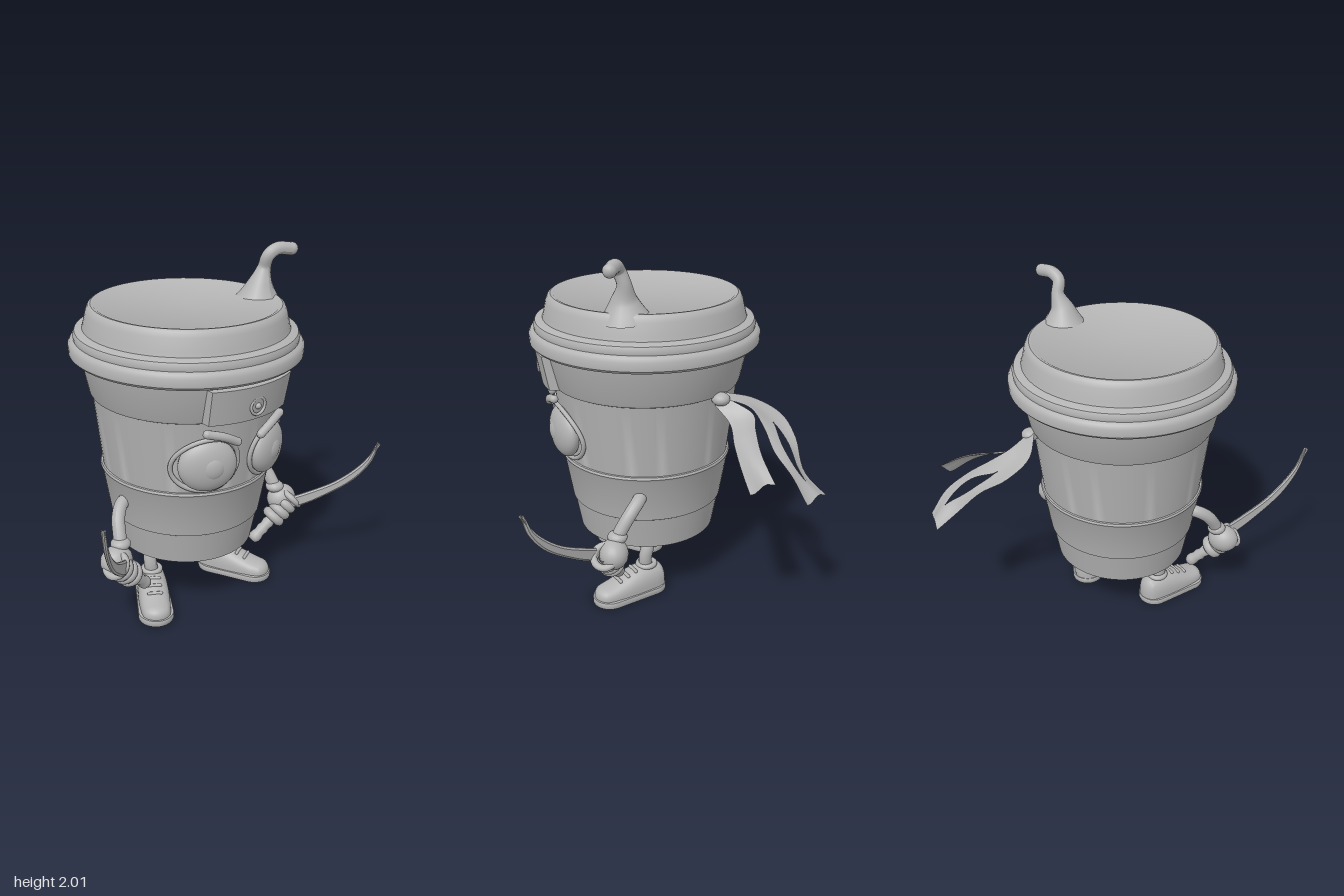
import * as THREE from 'three';
import { toCreasedNormals } from 'three/addons/utils/BufferGeometryUtils.js';

const grey = new THREE.MeshStandardMaterial({ color: 0xb3b3b3, side: THREE.DoubleSide });
grey.name = 'clay grey';

const CZ = 0.14; // cup axis in z
const V = (x, y, z) => new THREE.Vector3(x, y, z);
const curve = (pts, closed = false) => new THREE.CatmullRomCurve3(pts.map(p => V(...p)), closed);
const cupRadius = y => 0.39 + 0.173 * (y - 0.36);
const cupFront = (x, y) => CZ + Math.sqrt(cupRadius(y) ** 2 - x * x);

function add(parent, name, geo, pos = [0, 0, 0]) {
  const m = new THREE.Mesh(geo, grey);
  m.name = name;
  m.position.set(...pos);
  parent.add(m);
  return m;
}

// Moves every vertex by a rule and refreshes the normals
function warp(geo, rule) {
  const p = geo.attributes.position, v = V(0, 0, 0);
  for (let i = 0; i < p.count; i++) {
    rule(v.fromBufferAttribute(p, i), i);
    p.setXYZ(i, v.x, v.y, v.z);
  }
  geo.computeVertexNormals();
  return geo;
}

// Tube whose radius follows r(t)
function taperTube(path, r, n = 32, sides = 14) {
  return warp(new THREE.TubeGeometry(path, n, 1, sides), (v, i) => {
    const t = Math.floor(i / (sides + 1)) / n, c = path.getPointAt(t);
    v.sub(c).multiplyScalar(r(t)).add(c);
  });
}

function lathe(pts) {
  const g = new THREE.LatheGeometry(pts.map(p => new THREE.Vector2(...p)), 72);
  return toCreasedNormals(g, 0.6);
}

// Cloth strip between two edge curves; lo(t) and hi(t) pick its share of the width
function ribbon(a, b, lo = () => 0, hi = () => 1) {
  return warp(new THREE.PlaneGeometry(1, 1, 28, 6), v => {
    const t = v.x + 0.5, k = THREE.MathUtils.lerp(lo(t), hi(t), v.y + 0.5);
    const ripple = 0.012 * Math.sin(k * 7 + t * 5) * t;
    v.copy(a.getPoint(t)).lerp(b.getPoint(t), k);
    v.y += ripple;
  });
}

function buildCup(g) {
  add(g, 'cup', lathe([[0, 0.375], [0.365, 0.375], [0.372, 0.36], [0.39, 0.36], [0.422, 0.535],
    [0.424, 0.545], [0.432, 0.55], [0.474, 0.8], [0.482, 0.815], [0.477, 0.828], [0.468, 0.83],
    [0.515, 1.24], [0.525, 1.245], [0.532, 1.26], [0.572, 1.44], [0.58, 1.48], [0, 1.48]]), [0, 0, CZ]);
  add(g, 'lid', lathe([[0.56, 1.46], [0.62, 1.46], [0.634, 1.475], [0.636, 1.52], [0.625, 1.54],
    [0.607, 1.55], [0.61, 1.57], [0.6, 1.592], [0.58, 1.6], [0.559, 1.605], [0.552, 1.63],
    [0.537, 1.695], [0.525, 1.722], [0.51, 1.732], [0.495, 1.73], [0.48, 1.72], [0, 1.722]]), [0, 0, CZ]);

  // Curl of steam rising from the lid
  const path = curve([[0.42, 1.69, 0.24], [0.43, 1.78, 0.245], [0.455, 1.87, 0.245],
    [0.46, 1.94, 0.27], [0.51, 1.972, 0.285], [0.59, 1.966, 0.31]]);
  add(g, 'steam', taperTube(path, t => 0.036 + 0.1 * Math.max(0, 1 - t / 0.5) ** 1.6));
  add(g, 'steamTip', new THREE.SphereGeometry(0.036, 16, 12), [0.59, 1.966, 0.31]);
}

function buildFace(g) {
  // Bent forehead plate with a plain round boss
  add(g, 'foreheadPlate', toCreasedNormals(warp(new THREE.BoxGeometry(0.52, 0.19, 0.06, 24, 1, 1), v => {
    v.y += 1.345;
    v.x *= 1 - 0.12 * (1.44 - v.y);
    v.z += cupFront(v.x, v.y) + 0.005;
  }), 0.6));
  const z = cupFront(0, 1.33) + 0.035;
  add(g, 'plateRing', new THREE.TorusGeometry(0.045, 0.008, 8, 28), [0, 1.325, z]);
  add(g, 'plateStud', new THREE.SphereGeometry(0.017, 12, 8), [0, 1.325, z]);

  for (const s of [-1, 1]) {
    const x = 0.203 * s, eye = new THREE.Group();
    eye.name = s > 0 ? 'leftEye' : 'rightEye';
    g.add(eye);
    // Raised socket rim lying on the cup wall
    const rim = [];
    for (let i = 0; i < 28; i++) {
      const a = i / 28 * Math.PI * 2;
      const px = x + 0.16 * Math.cos(a), py = 1.0 + 0.155 * Math.sin(a);
      rim.push([px, py, cupFront(px, py)]);
    }
    add(eye, 'socketRim', new THREE.TubeGeometry(curve(rim, true), 64, 0.013, 8, true));
    const turn = Math.asin(x / 0.5);
    const ball = add(eye, 'eyeball', new THREE.SphereGeometry(1, 32, 24), [x, 1.0, cupFront(x, 1.0) - 0.008]);
    ball.scale.set(0.157, 0.146, 0.07);
    ball.rotation.y = turn;
    const pupil = add(eye, 'pupil', new THREE.SphereGeometry(1, 24, 16), [x, 1.0, cupFront(x, 1.0) + 0.03]);
    pupil.scale.set(0.075, 0.075, 0.042);
    pupil.rotation.y = turn;
    // Angry brow
    const brow = curve([[0.245, 1.197], [0.16, 1.172], [0.08, 1.13]]
      .map(([bx, by]) => [bx * s, by, cupFront(bx, by) + 0.02]));
    add(eye, 'brow', taperTube(brow, () => 0.023));
    for (const t of [0, 1]) add(eye, 'browEnd', new THREE.SphereGeometry(0.023, 12, 10), brow.getPoint(t).toArray());
  }
}

function buildScarf(g) {
  const scarf = new THREE.Group();
  scarf.name = 'scarfTails';
  g.add(scarf);
  const knot = add(scarf, 'knot', new THREE.SphereGeometry(0.045, 16, 12), [0.38, 1.235, -0.25]);
  knot.scale.set(1.1, 0.8, 1.1);
  const outer = curve([[0.34, 1.26, -0.27], [0.28, 1.2, -0.44], [0.34, 1.13, -0.58],
    [0.47, 1.05, -0.64], [0.6, 0.92, -0.67], [0.69, 0.83, -0.77]]);
  const inner = curve([[0.39, 1.24, -0.27], [0.43, 1.2, -0.4], [0.53, 1.13, -0.46],
    [0.65, 1.05, -0.5], [0.75, 0.96, -0.58], [0.81, 0.83, -0.65]]);
  // The long tail is split by a slit
  const slit = t => 0.15 * Math.sin(Math.PI * THREE.MathUtils.clamp((t - 0.42) / 0.45, 0, 1));
  add(scarf, 'longTailOuter', ribbon(outer, inner, () => 0, t => 0.5 - slit(t)));
  add(scarf, 'longTailInner', ribbon(outer, inner, t => 0.5 + slit(t), () => 1));
  add(scarf, 'shortTail', ribbon(
    curve([[0.37, 1.25, -0.26], [0.46, 1.18, -0.41], [0.6, 1.14, -0.41], [0.75, 1.085, -0.42], [0.905, 1.0, -0.47]]),
    curve([[0.38, 1.2, -0.22], [0.48, 1.13, -0.29], [0.62, 1.07, -0.3], [0.75, 1.01, -0.32], [0.865, 0.92, -0.355]])));
}

function buildArm(g, s) {
  const arm = new THREE.Group();
  arm.name = s > 0 ? 'leftArm' : 'rightArm';
  arm.scale.x = s;
  g.add(arm);
  add(arm, 'sleeve', taperTube(curve([[0.4, 0.7, 0.17], [0.47, 0.69, 0.19], [0.525, 0.64, 0.235],
    [0.55, 0.57, 0.28], [0.565, 0.49, 0.32]]), () => 0.037));
  const cuff = add(arm, 'cuff', new THREE.SphereGeometry(0.055, 16, 12), [0.56, 0.525, 0.305]);
  cuff.scale.y = 0.65;
  add(arm, 'palm', new THREE.SphereGeometry(0.088, 20, 16), [0.6, 0.445, 0.325]).scale.set(1.05, 0.95, 0.9);

  // Ridged handle, fingers and guard all share one axis
  const sword = new THREE.Group();
  sword.name = 'swordGrip';
  sword.position.set(0.41, 0.225, 0.31);
  sword.quaternion.setFromUnitVectors(V(0, 1, 0), V(0.235, 0.235, 0.065).normalize());
  arm.add(sword);
  const grip = [[0, -0.03], [0.026, -0.025], [0.037, -0.005]];
  for (let i = 0; i < 7; i++) grip.push([0.037, 0.02 + i * 0.05], [0.031, 0.042 + i * 0.05]);
  add(sword, 'handle', new THREE.LatheGeometry(grip.map(p => new THREE.Vector2(...p)), 18));
  for (let i = 0; i < 3; i++) {
    const f = add(sword, 'finger', new THREE.TorusGeometry(0.045, 0.03, 10, 20), [0, 0.17 + i * 0.052, 0]);
    f.rotation.x = Math.PI / 2;
  }
  const guard = add(sword, 'guard', new THREE.TorusGeometry(0.062, 0.02, 10, 24), [0, 0.325, 0]);
  guard.rotation.x = Math.PI / 2;

  // Curved blade in an upright plane turned outward
  const h = y => (s > 0 ? 0.43 + (y - 0.43) * 0.85 : y);
  const P = (x, y) => new THREE.Vector2(x, h(y));
  const shape = new THREE.Shape();
  shape.moveTo(0.02, h(0.4));
  shape.splineThru([P(0.163, 0.485), P(0.354, 0.64), P(0.462, 0.8), P(0.5, 0.95)]);
  shape.splineThru([P(0.41, 0.785), P(0.27, 0.64), P(0.1, 0.535), P(-0.04, 0.465)]);
  shape.closePath();
  const blade = new THREE.ExtrudeGeometry(shape, { depth: 0.008, curveSegments: 16,
    bevelThickness: 0.007, bevelSize: 0.01, bevelOffset: -0.01, bevelSegments: 1 });
  blade.translate(0, 0, -0.004);
  add(arm, 'blade', blade, [0.59, 0, 0.4]).rotation.y = -Math.PI / 4;
}

function buildLeg(g, s) {
  const leg = new THREE.Group();
  leg.name = s > 0 ? 'leftLeg' : 'rightLeg';
  leg.scale.x = s;
  g.add(leg);
  add(leg, 'shin', taperTube(curve([[0.15, 0.39, 0.13], [0.2, 0.355, 0.13], [0.25, 0.29, 0.14],
    [0.26, 0.22, 0.155], [0.245, 0.13, 0.155]]), () => 0.038));

  const shoe = new THREE.Group();
  shoe.name = 'shoe';
  shoe.position.set(0.302, 0, 0.245);
  shoe.rotation.y = Math.PI / 6;
  leg.add(shoe);
  const outline = new THREE.Shape();
  outline.absarc(0, 0.13, 0.093, Math.PI, 0, true);
  outline.absarc(0, -0.13, 0.088, 0, -Math.PI, true);
  const sole = new THREE.ExtrudeGeometry(outline, { depth: 0.025, bevelThickness: 0.008,
    bevelSize: 0.008, bevelSegments: 2, curveSegments: 16 });
  sole.rotateX(-Math.PI / 2).translate(0, 0.008, 0);
  sole.rotateY(Math.PI); // toe toward +z
  add(shoe, 'sole', toCreasedNormals(sole, 0.7));
  const top = z => THREE.MathUtils.lerp(0.178, 0.105, THREE.MathUtils.smoothstep(z, -0.1, 0.19));
  add(shoe, 'upper', warp(new THREE.SphereGeometry(1, 32, 16, 0, Math.PI * 2, 0, Math.PI / 2), v => {
    const z = v.z * 0.092 + 0.13 * THREE.MathUtils.clamp(v.z * 2.2, -1, 1);
    v.set(v.x * 0.09, 0.03 + (top(z) - 0.03) * Math.pow(Math.max(v.y, 0), 0.6), z);
  }));
  const collar = add(shoe, 'collar', new THREE.TorusGeometry(0.048, 0.016, 10, 24), [0, 0.17, -0.11]);
  collar.rotation.x = Math.PI / 2;
  for (const z of [-0.02, 0.03, 0.08]) {
    const lace = add(shoe, 'lace', new THREE.CapsuleGeometry(0.01, 0.07, 4, 8), [0, top(z) - 0.004, z]);
    lace.rotation.z = Math.PI / 2;
  }
}

export function createModel() {
  const g = new THREE.Group();
  g.name = 'cupWarrior';
  buildCup(g);
  buildFace(g);
  buildScarf(g);
  for (const s of [-1, 1]) {
    buildArm(g, s);
    buildLeg(g, s);
  }
  return g;
}
